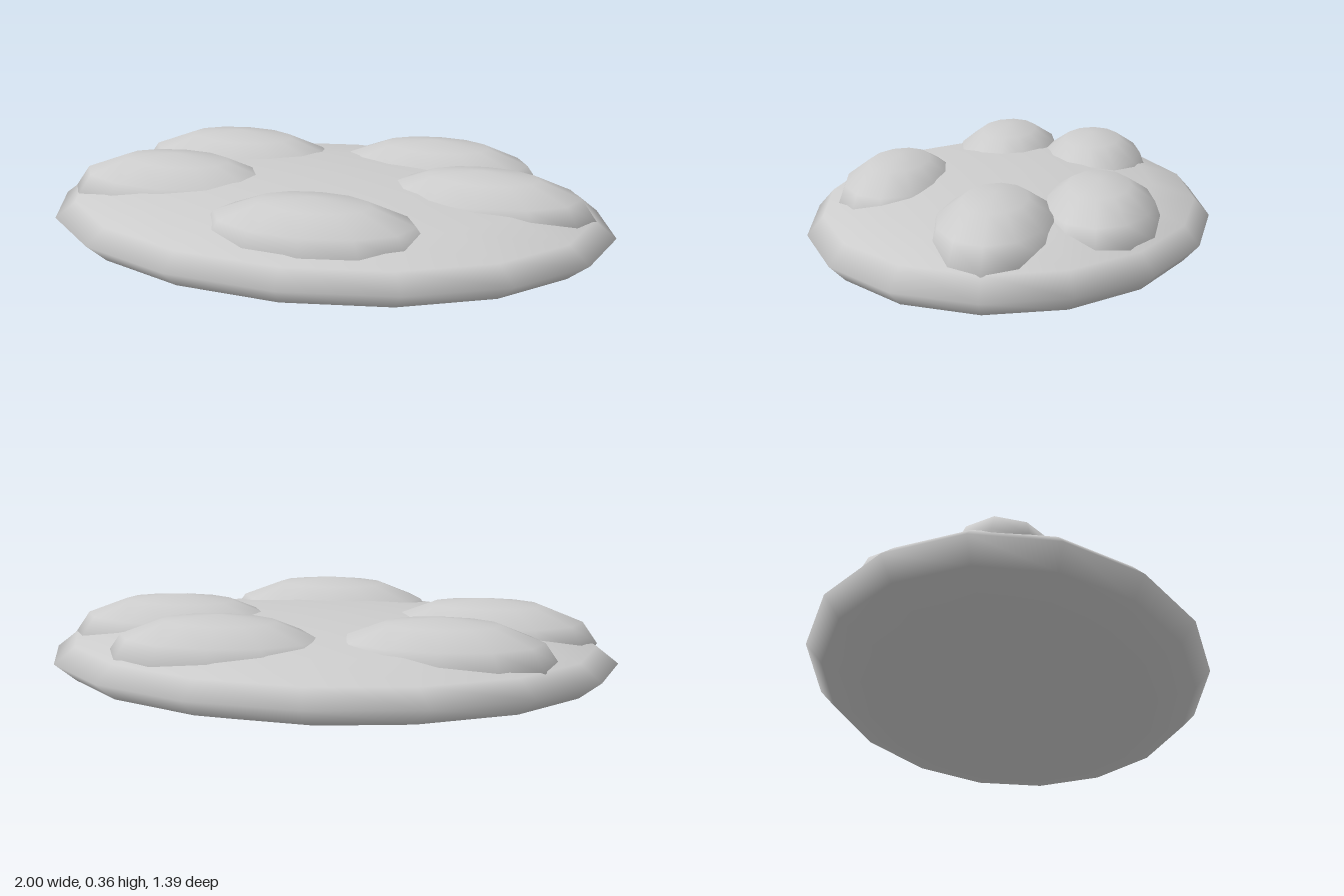
import * as THREE from 'three';

export function createModel() {
  const model = new THREE.Group();
  model.name = 'toppedDisc';
  const grey = new THREE.MeshStandardMaterial({ color: 0xcccccc });
  grey.name = 'light grey';

  // Smooth low-poly ellipsoid with its poles on the y axis
  function ellipsoid(name, segments, radii, centre) {
    const geometry = new THREE.SphereGeometry(1, segments, segments / 2);
    geometry.scale(...radii);
    const mesh = new THREE.Mesh(geometry, grey);
    mesh.name = name;
    mesh.position.set(...centre);
    model.add(mesh);
  }

  // Flat oval base
  ellipsoid('base', 16, [1, 0.155, 0.693], [0, 0.155, 0]);

  // Five oval toppings half sunk into the base
  const toppings = [
    ['toppingFront', 0.045, 0.39],
    ['toppingLeft', 0.54, 0],
    ['toppingBackLeft', 0.33, -0.315],
    ['toppingBackRight', -0.4, -0.27],
    ['toppingRight', -0.54, 0.06],
  ];
  for (const [name, x, z] of toppings) {
    ellipsoid(name, 12, [0.39, 0.15, 0.21], [x, 0.21, z]);
  }

  return model;
}
